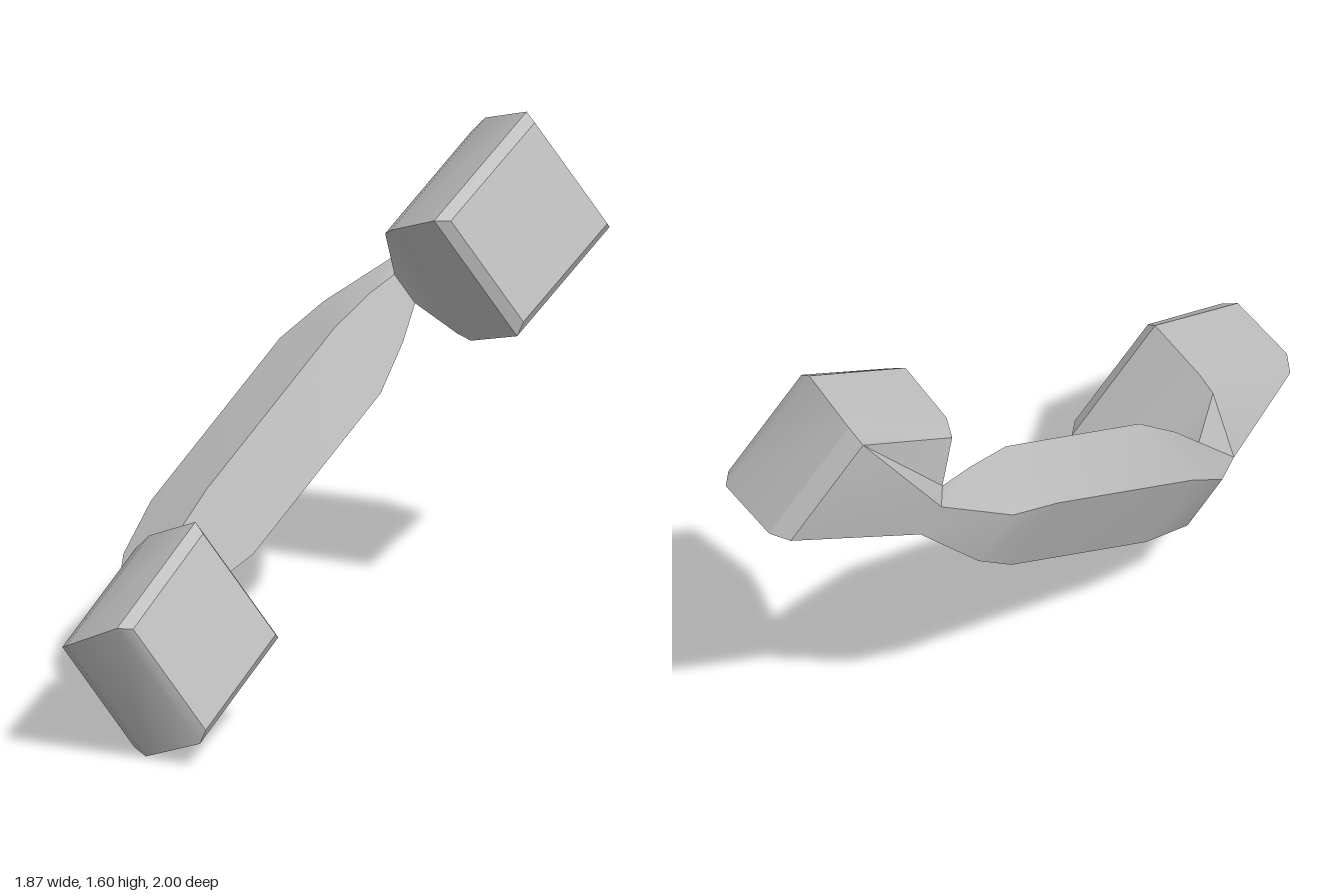
import * as THREE from 'three';
import { toCreasedNormals } from 'three/addons/utils/BufferGeometryUtils.js';

// Local frame: x along the handset, y across its width, z towards the cup faces.

// Join four-cornered rings into a surface, optionally capping the first ring.
function loft(rings, capFirst) {
  const pos = [];
  const quad = (a, b, c, d) => pos.push(...a, ...b, ...c, ...a, ...c, ...d);
  if (capFirst) quad(...rings[0]);
  for (let i = 0; i < rings.length - 1; i++) {
    const p = rings[i], q = rings[i + 1];
    for (let j = 0; j < 4; j++) {
      const k = (j + 1) % 4;
      quad(p[j], q[j], q[k], p[k]);
    }
  }
  const geo = new THREE.BufferGeometry();
  geo.setAttribute('position', new THREE.Float32BufferAttribute(pos, 3));
  return toCreasedNormals(geo, 0.55);
}

// Neck ring shared by cup and handle: front x, front z, back x, back z, half width
const NECK = [0.76, -0.262, 0.867, -0.345, 0.06];

// Cup rings from the face to the neck: inner x, inner z, outer x, outer z, half width
const CUP = [
  [0.768, 0.120, 1.245, 0.153, 0.210],
  [0.740, 0.087, 1.270, 0.120, 0.240],
  [0.750, -0.130, 1.298, -0.105, 0.230],
  [0.773, -0.195, 1.266, -0.166, 0.208],
  NECK,
];

// Handle rings from the neck to the middle, in the same layout as the neck
const HANDLE = [
  NECK,
  [0.610, -0.238, 0.620, -0.457, 0.100],
  [0.395, -0.208, 0.400, -0.467, 0.135],
];

function cupGeometry(side) {
  const rings = CUP.map(([xi, zi, xo, zo, w]) => {
    const ring = [[side * xi, -w, zi], [side * xo, -w, zo], [side * xo, w, zo], [side * xi, w, zi]];
    return side > 0 ? ring : ring.reverse();
  });
  return loft(rings, true);
}

function handleGeometry() {
  const half = (side) => HANDLE.map(([xf, zf, xb, zb, w]) => [
    [side * xb, -w, zb], [side * xb, w, zb], [side * xf, w, zf], [side * xf, -w, zf],
  ]);
  return loft([...half(1), ...half(-1).reverse()], false);
}

export function createModel() {
  const grey = new THREE.MeshStandardMaterial({ color: 0xbfbfbf });
  grey.name = 'grey plastic';

  const handset = new THREE.Group();
  handset.name = 'handset';
  const add = (name, geo) => {
    const mesh = new THREE.Mesh(geo, grey);
    mesh.name = name;
    handset.add(mesh);
  };
  add('earpiece', cupGeometry(1));
  add('mouthpiece', cupGeometry(-1));
  add('handle', handleGeometry());

  // Tilt the handset diagonally
  const along = new THREE.Vector3(0.571, 0.441, -0.693).normalize();
  const face = new THREE.Vector3().crossVectors(along, new THREE.Vector3(-0.556, 0.827, 0.078)).normalize();
  const across = new THREE.Vector3().crossVectors(face, along);
  handset.quaternion.setFromRotationMatrix(new THREE.Matrix4().makeBasis(along, across, face));
  handset.position.y = 0.8;

  const model = new THREE.Group();
  model.name = 'telephone handset';
  model.add(handset);
  return model;
}
